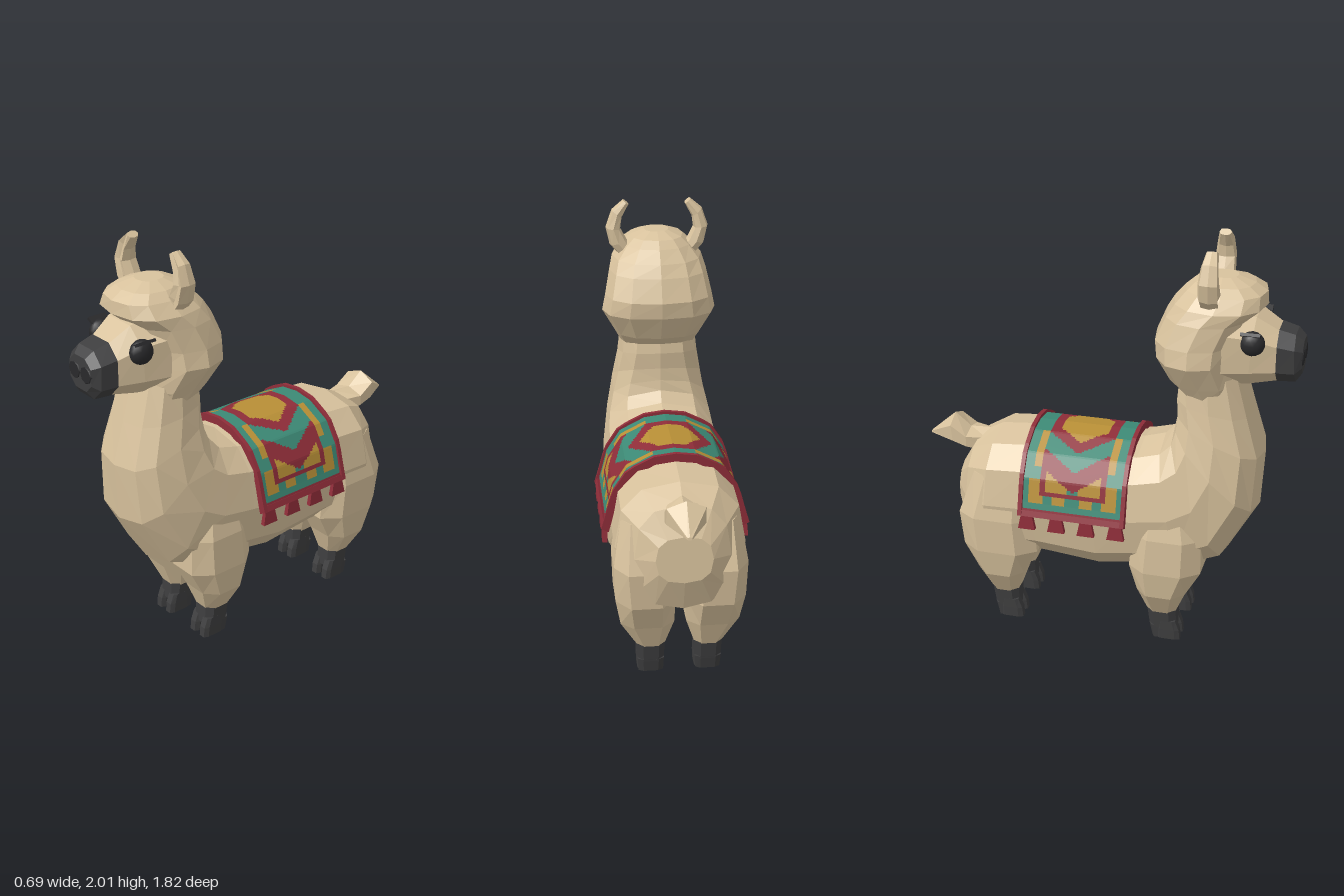
import * as THREE from 'three';

const mat = (name, color, side = THREE.FrontSide) => {
  const m = new THREE.MeshStandardMaterial({ color, side });
  m.name = name;
  return m;
};
const V = (x, y, z) => new THREE.Vector3(x, y, z);

// Flat-shaded geometry from a list of corner points, turned outward
function solid(pts) {
  let vol = 0;
  for (let i = 0; i < pts.length; i += 3) vol += pts[i].dot(pts[i + 1].clone().cross(pts[i + 2]));
  if (vol < 0) pts.reverse();
  const g = new THREE.BufferGeometry().setFromPoints(pts);
  g.computeVertexNormals();
  return g;
}

// Skin over a series of rings, closed at both ends
function loft(rings) {
  const pts = [], n = rings[0].length;
  for (let r = 0; r < rings.length - 1; r++) {
    for (let i = 0; i < n; i++) {
      const j = (i + 1) % n, a = rings[r], b = rings[r + 1];
      pts.push(a[i], a[j], b[j], a[i], b[j], b[i]);
    }
  }
  const last = rings[rings.length - 1];
  for (let i = 1; i < n - 1; i++) {
    pts.push(rings[0][0], rings[0][i + 1], rings[0][i], last[0], last[i], last[i + 1]);
  }
  return solid(pts);
}

// Squarish oval round c with half axes u and v
function ring(c, u, v, n, p = 0.8, phase = 0) {
  const f = t => Math.sign(t) * Math.abs(t) ** p;
  return Array.from({ length: n }, (_, i) => {
    const a = (i + phase) / n * Math.PI * 2;
    return c.clone().addScaledVector(u, f(Math.cos(a))).addScaledVector(v, f(Math.sin(a)));
  });
}

// Ring from a top point (z, y), a bottom point (z, y) and a half width
const spine = (n, p, phase) => ([zt, yt, zb, yb, w]) => ring(
  V(0, (yt + yb) / 2, (zt + zb) / 2), V(0, (yt - yb) / 2, (zt - zb) / 2), V(w, 0, 0), n, p, phase);

// Level ring from height, back, front, inner x and outer x
const level = (n, p, phase) => ([y, zb, zf, xi, xo]) => ring(
  V((xi + xo) / 2, y, (zb + zf) / 2), V(0, 0, (zf - zb) / 2), V((xo - xi) / 2, 0, 0), n, p, phase);

export function createModel() {
  const group = new THREE.Group();
  const wool = mat('wool', 0xd8c29d), dark = mat('hoof and muzzle', 0x3e3e3f), black = mat('eye', 0x29292b);
  const red = mat('red cloth', 0x8f2d39, THREE.DoubleSide);
  const gold = mat('gold cloth', 0xb88f36, THREE.DoubleSide);
  const teal = mat('teal cloth', 0x3c8975, THREE.DoubleSide);
  const add = (name, geo, m) => {
    const mesh = new THREE.Mesh(geo, m);
    mesh.name = name;
    group.add(mesh);
    return mesh;
  };

  // Rump, belly, chest and neck in one sweep
  add('bodyAndNeck', loft([
    [-0.715, 0.8, -0.735, 0.58, 0.13], [-0.645, 0.925, -0.68, 0.42, 0.22], [-0.53, 0.985, -0.56, 0.37, 0.3],
    [-0.36, 1.0, -0.28, 0.37, 0.3], [0, 1.0, 0, 0.34, 0.3], [0.18, 1.0, 0.18, 0.37, 0.295],
    [0.28, 1.03, 0.42, 0.39, 0.29], [0.325, 1.08, 0.6, 0.46, 0.28], [0.335, 1.13, 0.745, 0.72, 0.255],
    [0.34, 1.19, 0.76, 1.0, 0.225], [0.335, 1.27, 0.7, 1.2, 0.2], [0.36, 1.42, 0.64, 1.4, 0.18],
  ].map(spine(12, 0.78))), wool);

  // Tail
  add('tail', loft([
    [-0.6, 0.95, -0.62, 0.82, 0.07], [-0.7, 0.945, -0.7, 0.85, 0.1],
    [-0.78, 1.01, -0.765, 0.86, 0.1], [-0.905, 0.9, -0.908, 0.885, 0.012],
  ].map(spine(6, 0.9))), wool);

  // Woolly head
  add('headWool', loft([
    [1.29, 0.37, 0.61, 0.18], [1.36, 0.3, 0.635, 0.215], [1.48, 0.24, 0.61, 0.278], [1.56, 0.23, 0.62, 0.262],
    [1.67, 0.275, 0.665, 0.238], [1.73, 0.31, 0.74, 0.22], [1.79, 0.36, 0.735, 0.17],
    [1.825, 0.4, 0.68, 0.13], [1.852, 0.47, 0.6, 0.06],
  ].map(([y, b, f, w]) => level(12, 0.85)([y, b, f, -w, w]))), wool);

  // Face and muzzle
  add('face', loft([
    [0.5, 1.74, 0.5, 1.34, 0.22], [0.7, 1.7, 0.68, 1.355, 0.17], [0.81, 1.63, 0.81, 1.38, 0.125],
  ].map(spine(8, 0.8, 0.5))), wool);
  add('muzzle', loft([
    [0.8, 1.64, 0.8, 1.375, 0.13], [0.875, 1.62, 0.885, 1.38, 0.118], [0.912, 1.585, 0.912, 1.42, 0.085],
  ].map(spine(8, 0.8, 0.5))), dark);

  // Ears curving out and then in: x, y, half thickness, half depth
  const ear = [[0.135, 1.73, 0.035, 0.05], [0.19, 1.8, 0.043, 0.055], [0.214, 1.87, 0.036, 0.052],
    [0.195, 1.94, 0.032, 0.042], [0.15, 1.995, 0.018, 0.028]];

  for (const [side, s] of [['left', 1], ['right', -1]]) {
    add(side + 'Ear', loft(ear.map(([x, y, t, d], i) => {
      const tilt = [-0.6, -0.3, 0.1, 0.7, 0.7][i];
      const r = ring(V(s * x, y, 0.505), V(0, 0, d), V(s * t * Math.cos(tilt), t * Math.sin(tilt), 0), 8, 0.8);
      r[0].z -= i < 4 ? 0.022 : 0; // hollow at the front
      return r;
    })), wool);

    // Eye, lid and nostril
    const eye = add(side + 'Eye', new THREE.IcosahedronGeometry(0.058, 2), black);
    eye.position.set(s * 0.15, 1.59, 0.695);
    eye.scale.set(0.75, 1, 1);
    const lash = add(side + 'Lash', new THREE.BoxGeometry(0.05, 0.014, 0.09), black);
    lash.position.set(s * 0.168, 1.635, 0.69);
    lash.rotation.z = s * 0.5;
    const nostril = add(side + 'Nostril', new THREE.CylinderGeometry(0.038, 0.042, 0.008, 8), black);
    nostril.rotation.x = Math.PI / 2;
    nostril.position.set(s * 0.042, 1.505, 0.912);

    // Legs with cloven hooves
    const legs = {
      Front: [[0.15, 0.235, 0.385, 0.065, 0.205], [0.28, 0.19, 0.44, 0.02, 0.285], [0.42, 0.15, 0.52, 0.015, 0.31],
        [0.6, 0.17, 0.52, 0.05, 0.305], [0.82, 0.22, 0.45, 0.1, 0.25]],
      Back: [[0.15, -0.56, -0.42, 0.065, 0.205], [0.28, -0.615, -0.37, 0.02, 0.285], [0.42, -0.685, -0.29, 0.015, 0.31],
        [0.6, -0.7, -0.3, 0.05, 0.315], [0.82, -0.62, -0.32, 0.1, 0.275]],
    };
    for (const [end, rings] of Object.entries(legs)) {
      const mir = r => r.map(([y, b, f, i, o]) => [y, b, f, s * i, s * o]);
      add(side + end + 'Leg', loft(mir(rings).map(level(8, 0.75, 0.5))), wool);
      const z0 = rings[0][1], z1 = rings[0][2];
      add(side + end + 'Pastern', loft(mir([
        [0.165, z0, z1, 0.065, 0.205], [0.06, z0 + 0.015, z1 + 0.005, 0.07, 0.2],
      ]).map(level(8, 0.65, 0.5))), dark);
      add(side + end + 'Heel', loft(mir([
        [0.07, z0 + 0.015, z1 - 0.05, 0.07, 0.2], [0, z0 + 0.03, z1 - 0.05, 0.075, 0.195],
      ]).map(level(8, 0.6, 0.5))), dark);
      for (const x of [0.07, 0.142]) {
        add(side + end + 'Toe', loft(mir([
          [0.1, z1 - 0.09, z1, x, x + 0.058], [0.05, z1 - 0.1, z1 + 0.02, x, x + 0.058],
          [0, z1 - 0.1, z1 + 0.025, x + 0.002, x + 0.056],
        ]).map(level(8, 0.55, 0.5))), dark);
      }
    }

    // Tassels along the lower edge
    for (let i = 0; i < 4; i++) {
      const z = 0.118 - i * 0.145;
      add(side + 'Tassel', loft([[0.69, 0.025, 0.315, 0.34], [0.605, 0.042, 0.315, 0.348]]
        .map(([y, d, a, b]) => level(4, 1, 0.5)([y, z - d * 1.4, z + d * 1.4, s * a, s * b]))), red);
    }
  }

  // Draped blanket: half of its cross-section, walked by arc length
  const half = [[0, 1.03], [0.1, 1.017], [0.22, 0.955], [0.287, 0.85], [0.315, 0.74], [0.335, 0.67]];
  const len = half.slice(1).map((p, i) => Math.hypot(p[0] - half[i][0], p[1] - half[i][1]));
  const total = len.reduce((a, b) => a + b);
  const drape = (u, z, lift = 0) => {
    let a = Math.abs(u), i = 0;
    while (i < len.length - 1 && a > len[i]) a -= len[i++];
    const t = a / len[i], p = half[i], q = half[i + 1];
    const x = p[0] + (q[0] - p[0]) * t, y = p[1] + (q[1] - p[1]) * t;
    const out = V(x, y - 0.5, 0).normalize().multiplyScalar(lift);
    return V(Math.sign(u) * (x + out.x), y + out.y, z);
  };

  // Woven pattern: 0 red, 1 gold, 2 teal
  const mid = -0.1, zHalf = 0.25;
  const weave = (u, z) => {
    const a = Math.abs(u), d = Math.abs(z - mid), s = a + 0.7 * d;
    if (a > 0.51) return 0;
    if (d < 0.16 && s < 0.41) {
      if (d < 0.115 && s < 0.15) return 1;
      return s < 0.215 ? 0 : s < 0.315 ? 2 : 0;
    }
    if (a > 0.2 && a < 0.44 && d < 0.16 && (d > 0.13 || a > 0.415)) return 0;
    if (a < 0.415 && d < 0.13) return d < 0.03 ? 2 : 1;
    if (d < 0.2 && a > 0.1 && a < 0.3) return 1;
    if (a > 0.36 && a < 0.48 && d > 0.14 && d < 0.215) return 1;
    if (a >= 0.44 && a < 0.475 && Math.abs(d - 0.07) < 0.03) return 1;
    return 2;
  };
  const cells = [[], [], []], nu = 110, nz = 56;
  for (let i = 0; i < nu; i++) {
    for (let j = 0; j < nz; j++) {
      const u = k => (k / nu * 2 - 1) * total, z = k => mid + (k / nz * 2 - 1) * zHalf;
      const a = drape(u(i), z(j)), b = drape(u(i), z(j + 1)), c = drape(u(i + 1), z(j + 1)), e = drape(u(i + 1), z(j));
      cells[weave(u(i + 0.5), z(j + 0.5))].push(a, b, c, a, c, e);
    }
  }
  const cloth = new THREE.BufferGeometry().setFromPoints(cells.flat());
  cloth.computeVertexNormals();
  let start = 0;
  cells.forEach((c, i) => { cloth.addGroup(start, c.length, i); start += c.length; });
  add('blanket', cloth, [red, gold, teal]);

  // Raised hems at front, back and both lower edges
  for (const z of [mid - zHalf, mid + zHalf]) {
    add('crossHem', loft(Array.from({ length: 23 }, (_, i) => {
      const u = (i / 11 - 1) * total;
      return [[-0.01, -0.025], [0.01, -0.025], [0.01, 0.014], [-0.01, 0.014]].map(([dz, l]) => drape(u, z + dz, l));
    })), red);
  }
  for (const s of [-1, 1]) {
    add('lowerHem', loft([mid - zHalf, mid + zHalf].map(z => [
      drape(s * total, z, -0.02), drape(s * total, z, 0.012), drape(s * 0.518, z, 0.01), drape(s * 0.518, z, -0.02),
    ])), red);
  }
  return group;
}
